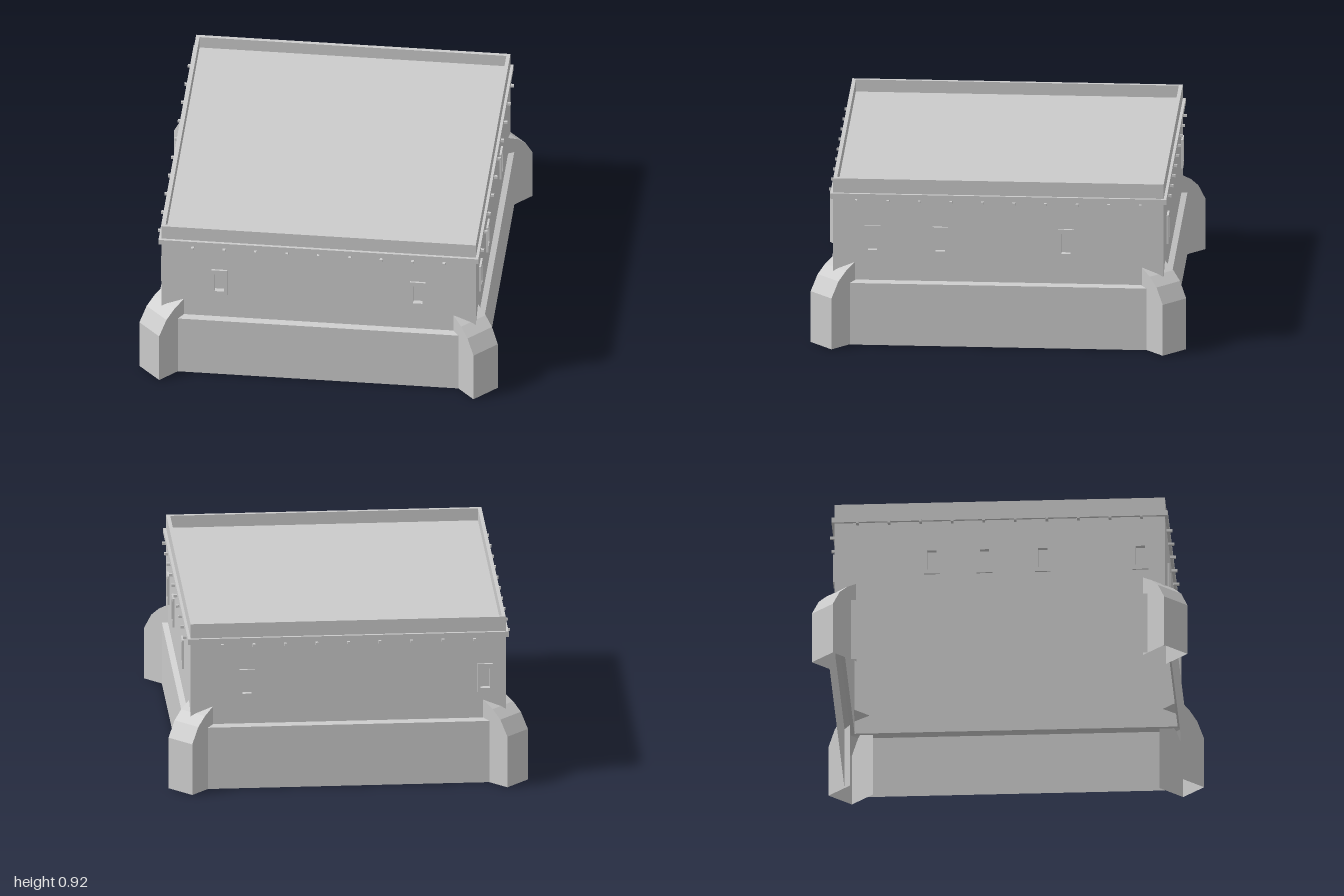
import * as THREE from 'three';

const mat = new THREE.MeshStandardMaterial({ color: 0xcccccc, flatShading: true });
const sheetMat = new THREE.MeshStandardMaterial({ color: 0xcccccc, flatShading: true, side: THREE.DoubleSide });

const W = 0.84, D = 0.88, T = 0.02;          // half width, half depth, wall thickness
const BASE = 0.35, TOP = 0.92;               // bottom and top of the upper wall
const WIN_Y = 0.58, OPEN_W = 0.05, OPEN_H = 0.11;

function add(parent, name, geometry, material = mat) {
  const mesh = new THREE.Mesh(geometry, material);
  mesh.name = name;
  parent.add(mesh);
  return mesh;
}

function rect(cx, cy, w, h, Type = THREE.Shape) {
  const x = w / 2, y = h / 2;
  return new Type([[-x, -y], [x, -y], [x, y], [-x, y]].map(([a, b]) => new THREE.Vector2(cx + a, cy + b)));
}

function extrude(shape, depth) {
  return new THREE.ExtrudeGeometry(shape, { depth, bevelEnabled: false });
}

// Open strip between two rows of points
function strip(rowA, rowB) {
  const index = [];
  const n = rowA.length;
  for (let i = 0; i < n - 1; i++) index.push(i, n + i, i + 1, i + 1, n + i, n + i + 1);
  const g = new THREE.BufferGeometry();
  g.setAttribute('position', new THREE.Float32BufferAttribute([...rowA, ...rowB].flat(), 3));
  g.setIndex(index);
  const flat = g.toNonIndexed();
  flat.computeVertexNormals();
  return flat;
}

// One facade: local x runs along the wall, local z points outward
function facade(name, half, dist, span, windows, pegCount, angle) {
  const side = new THREE.Group();
  side.name = name;
  side.rotation.y = angle;

  const wall = rect(0, (BASE + TOP) / 2, half * 2, TOP - BASE);
  windows.forEach((x) => wall.holes.push(rect(x, WIN_Y, OPEN_W, OPEN_H, THREE.Path)));
  add(side, 'wall', extrude(wall, T)).position.z = dist - T;

  for (const x of windows) {
    const frame = rect(x, WIN_Y, 0.084, 0.16);
    frame.holes.push(rect(x, WIN_Y, OPEN_W, OPEN_H, THREE.Path));
    add(side, 'windowFrame', extrude(frame, 0.011)).position.z = dist;
    add(side, 'windowPane', new THREE.BoxGeometry(OPEN_W, OPEN_H, 0.004)).position.set(x, WIN_Y, dist - T + 0.002);
  }

  // Beam ends under the cornice
  for (let i = 0; i < pegCount; i++) {
    const x = (i - (pegCount - 1) / 2) * 0.168;
    add(side, 'beamEnd', new THREE.BoxGeometry(0.014, 0.014, 0.034)).position.set(x, 0.803, dist + 0.015);
  }

  // Plinth sheet with a sloped top, running between the buttresses
  const profile = [[0, 0.03, 0], [0, 0.03, 0.345], [-0.03, 0, 0.355]];
  const row = (s) => profile.map(([dx, dz, y]) => [s * (span + dx), y, dist + dz]);
  add(side, 'plinth', strip(row(-1), row(1)), sheetMat);
  return side;
}

// Hollow corner buttress set at 45 degrees, with a curved top
function buttress(sx, sz) {
  const group = new THREE.Group();
  group.name = 'cornerButtress';
  const curve = [[0, 0], [0, 0.285], [0.035, 0.37], [0.073, 0.417], [0.12, 0.455]];
  const row = (x, z) => curve.map(([d, y]) => [sx * (x - d), y, sz * (z - d)]);
  const a = row(0.958, 0.882), b = row(0.84, 1.0);
  add(group, 'buttressFace', strip(a, b), sheetMat);
  for (const edge of [a, b]) {
    const end = edge[edge.length - 1];
    const inner = edge.map((p) => [end[0], p[1] === end[1] ? end[1] : 0, end[2]]);
    add(group, 'buttressCheek', strip(edge, inner), sheetMat);
  }
  return group;
}

export function createModel() {
  const model = new THREE.Group();
  model.name = 'building';

  const H = Math.PI / 2;
  model.add(
    facade('frontSide', W, D, 0.75, [-0.53, 0.53], 9, 0),
    facade('leftSide', D - T, W, 0.79, [-0.67, -0.31, 0.36], 10, H),
    facade('backSide', W, D, 0.75, [-0.54, 0.73], 9, Math.PI),
    facade('rightSide', D - T, W, 0.79, [-0.36, -0.08, 0.23, 0.75], 10, -H),
  );

  for (const sx of [-1, 1]) for (const sz of [-1, 1]) model.add(buttress(sx, sz));

  // Cornice band around the walls
  const band = rect(0, 0, (W + 0.015) * 2, (D + 0.015) * 2);
  band.holes.push(rect(0, 0, W * 2, D * 2, THREE.Path));
  const cornice = add(model, 'cornice', extrude(band, 0.03).rotateX(-H));
  cornice.position.y = 0.81;

  // Flat roof sunk behind the parapet
  const roof = add(model, 'roof', new THREE.BoxGeometry((W - T) * 2, 0.025, (D - T) * 2));
  roof.position.y = 0.84;

  return model;
}
